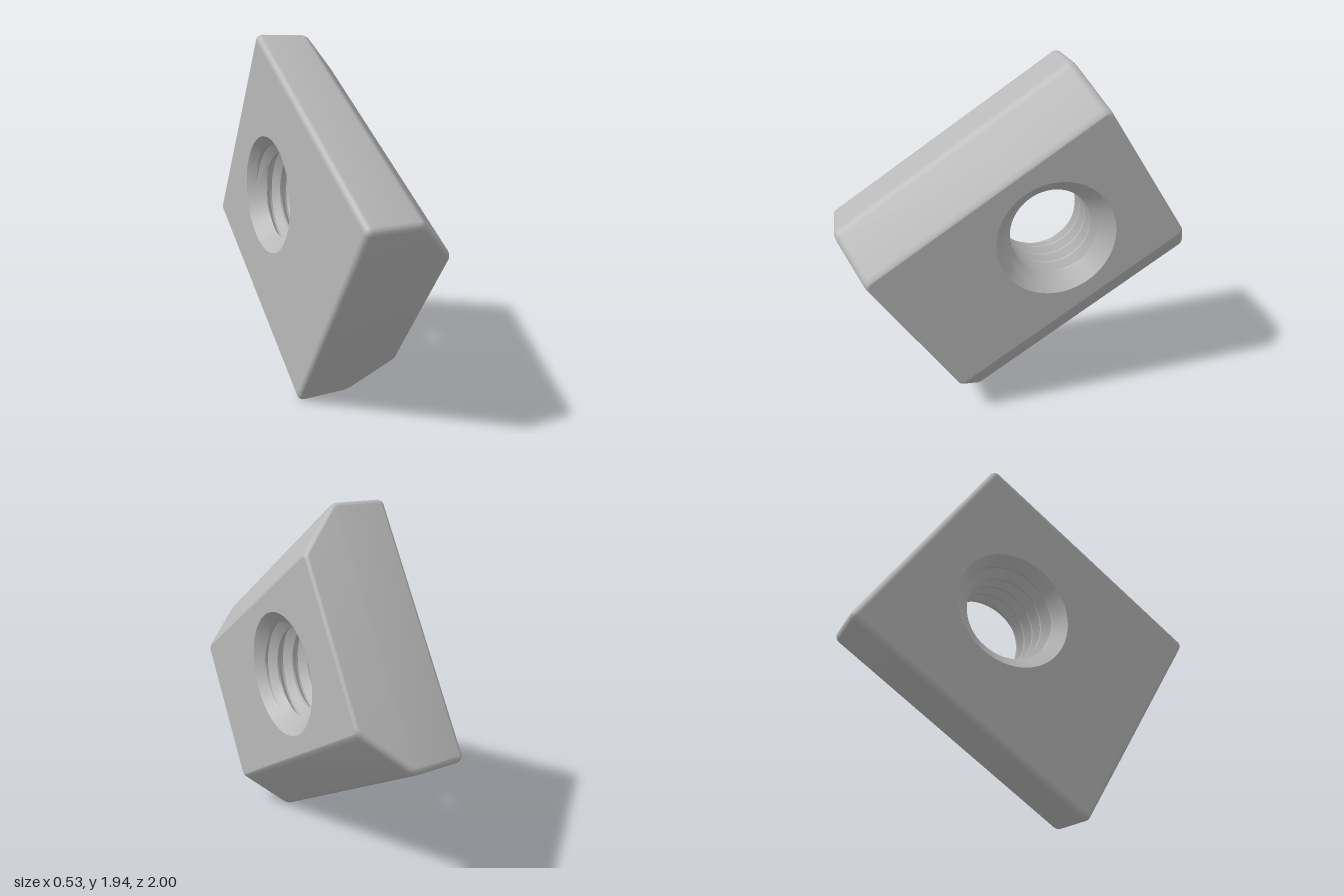
import * as THREE from 'three';
import { toCreasedNormals } from 'three/addons/utils/BufferGeometryUtils.js';

const HALF_X = 0.265, HALF_Y = 0.677, HALF_Z = 0.766; // block half sizes before tilting
const BEND_X = 0.03, SLOPE = 1.04;                    // where the long sides start to taper
const CORNER = 0.036;
const HOLE_Z = -0.173, MINOR = 0.235, MAJOR = 0.282, MOUTH = 0.33, PITCH = 0.095;
const SEGMENTS = 96;

// Skin consecutive rings of [x, y, z] points; inward turns the faces to the inside
function loft(rings, closed, inward, crease) {
  const n = rings[0].length, pos = [], index = [];
  rings.forEach(r => r.forEach(p => pos.push(...p)));
  const tri = (a, b, c) => {
    const xs = [a, b, c].map(i => pos[i * 3]);
    // skip triangles flattened against the end planes
    if (inward && Math.abs(xs[0]) === HALF_X && xs[0] === xs[1] && xs[1] === xs[2]) return;
    index.push(a, ...(inward ? [c, b] : [b, c]));
  };
  for (let i = 0; i < rings.length - 1; i++) {
    for (let j = 0; j < (closed ? n : n - 1); j++) {
      const k = (j + 1) % n, a = i * n + j, b = i * n + k;
      tri(a, b, a + n);
      tri(b, b + n, a + n);
    }
  }
  const g = new THREE.BufferGeometry();
  g.setAttribute('position', new THREE.Float32BufferAttribute(pos, 3));
  g.setIndex(index);
  return toCreasedNormals(g, crease);
}

// Rounded rectangle in the y-z plane
function ring({ x, hy, hz, r }) {
  const pts = [];
  for (let q = 0; q < 4; q++) {
    const sy = q === 0 || q === 3 ? 1 : -1, sz = q < 2 ? 1 : -1;
    for (let i = 0; i <= 6; i++) {
      const a = (q + i / 6) * Math.PI / 2;
      pts.push([x, sy * (hy - r) + r * Math.cos(a), sz * (hz - r) + r * Math.sin(a)]);
    }
  }
  return pts;
}

// Outline sections from the back face to the front face
function blockSections() {
  const s = [], backR = 0.035, frontR = 0.02, steps = 6;
  for (let i = 0; i <= steps; i++) { // rounded back edge
    const a = i / steps * Math.PI / 2, d = backR * (1 - Math.sin(a));
    s.push({ x: -HALF_X + backR * (1 - Math.cos(a)), hy: HALF_Y - d, hz: HALF_Z - d, r: CORNER - d });
  }
  for (let i = 0; i <= 4; i++) { // softened bend into the taper
    const t = i / 4, w = 0.025;
    s.push({ x: BEND_X - w + 2 * w * t, hy: HALF_Y - SLOPE * w * t * t, hz: HALF_Z, r: CORNER });
  }
  for (let i = 0; i <= steps; i++) { // taper ending in a rounded front edge
    const a = i / steps * Math.PI / 2, d = frontR * (1 - Math.cos(a));
    const x = HALF_X - frontR * (1 - Math.sin(a));
    s.push({ x, hy: HALF_Y - SLOPE * (x - BEND_X) - 0.4 * d, hz: HALF_Z - d, r: CORNER - d });
  }
  return s;
}

// Flat end face with the round mouth of the hole cut out
function endFace(section, reversed) {
  const shape = new THREE.Shape(ring(section).map(p => new THREE.Vector2(p[1], p[2])));
  const mouth = [];
  for (let i = 0; i < SEGMENTS; i++) {
    const a = i / SEGMENTS * Math.PI * 2;
    mouth.push(new THREE.Vector2(MOUTH * Math.cos(a), HOLE_Z + MOUTH * Math.sin(a)));
  }
  shape.holes.push(new THREE.Path(mouth));
  const g = new THREE.ShapeGeometry(shape);
  if (reversed) g.index.array.reverse();
  g.applyMatrix4(new THREE.Matrix4().makeBasis(
    new THREE.Vector3(0, 1, 0), new THREE.Vector3(0, 0, 1), new THREE.Vector3(1, 0, 0)));
  g.translate(section.x, 0, 0);
  const flat = g.toNonIndexed();
  flat.computeVertexNormals();
  return flat;
}

// Helical thread opening into a countersink at both ends
function threadedBore() {
  const rings = [], stations = 16;
  const turns = Math.ceil(HALF_X / PITCH) + 1;
  for (let i = -turns * stations; i <= turns * stations; i++) {
    const t = (((i / stations) % 1) + 1) % 1;
    // flat crest, sloping flank, narrow flat root, sloping flank
    const depth = THREE.MathUtils.clamp((0.4375 - Math.abs(t - 0.5)) / 0.375, 0, 1);
    const row = [];
    for (let j = 0; j <= SEGMENTS; j++) {
      const a = j / SEGMENTS * Math.PI * 2;
      const x = THREE.MathUtils.clamp(PITCH * (i / stations + j / SEGMENTS - 0.5), -HALF_X, HALF_X);
      const cone = MOUTH - (HALF_X - Math.abs(x));
      const r = Math.max(MINOR + (MAJOR - MINOR) * depth, cone);
      row.push([x, r * Math.cos(a), HOLE_Z + r * Math.sin(a)]);
    }
    rings.push(row);
  }
  return loft(rings, false, true, 0.4);
}

export function createModel() {
  const steel = new THREE.MeshStandardMaterial({ color: 0xb8b8b8 });
  steel.name = 'steel grey';
  const model = new THREE.Group();
  model.name = 'slotNut';
  const add = (name, geometry) => {
    const mesh = new THREE.Mesh(geometry, steel);
    mesh.name = name;
    model.add(mesh);
  };

  const sections = blockSections();
  add('blockSides', loft(sections.map(ring), true, false, 0.2));
  add('backFace', endFace(sections[0], true));
  add('frontFace', endFace(sections[sections.length - 1], false));
  add('threadedHole', threadedBore());

  // The block stands tilted on one corner
  model.rotation.x = 0.579;
  model.position.y = 0.975;
  const root = new THREE.Group();
  root.name = 'tiltedNut';
  root.add(model);
  return root;
}
